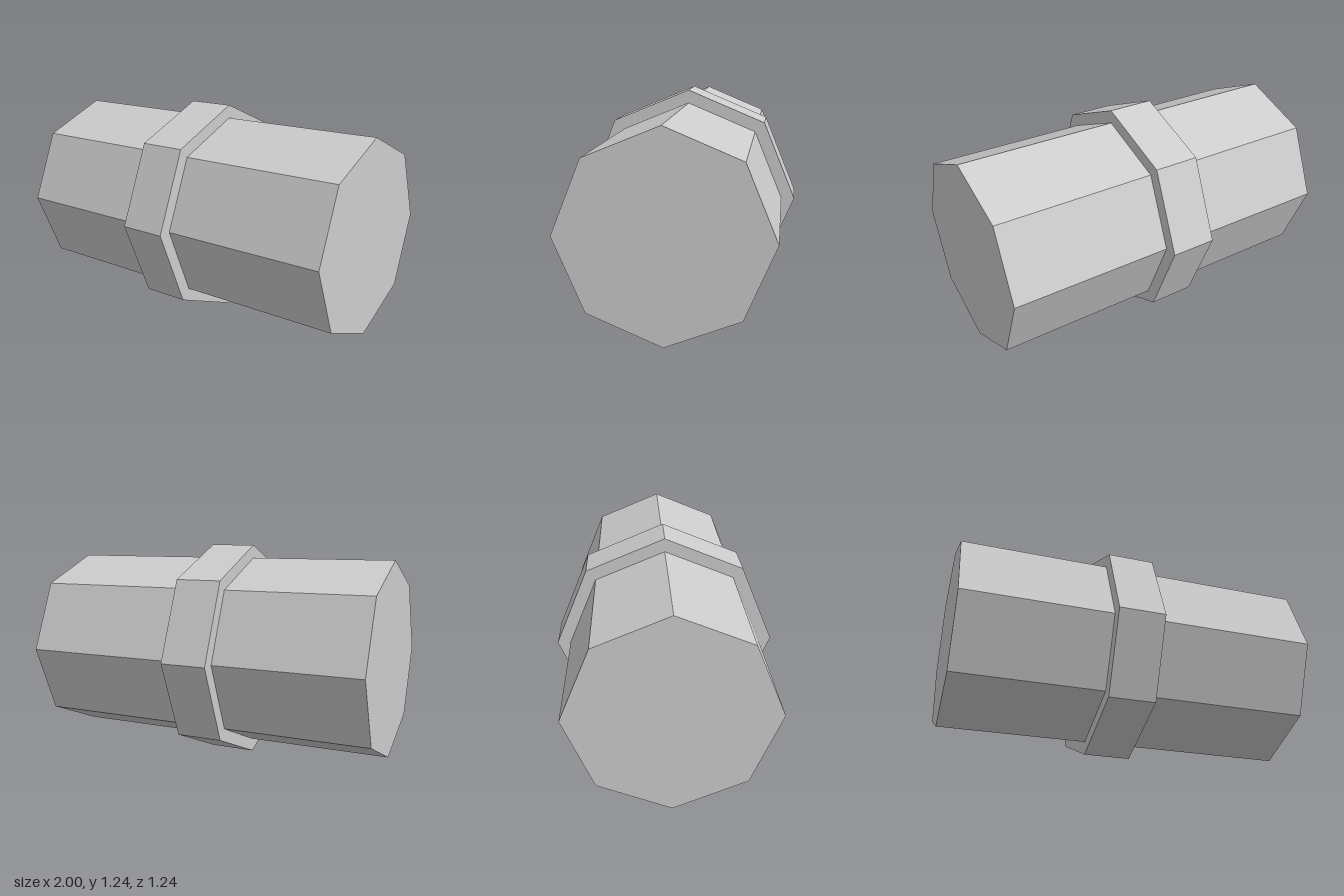
import * as THREE from 'three';

const AXIS_Y = 0.618;

// Octagonal prism lying along x, with a corner pointing straight up
function octagonPrism(name, radius, xMin, xMax, material) {
  const geometry = new THREE.CylinderGeometry(radius, radius, xMax - xMin, 8);
  geometry.rotateZ(Math.PI / 2);
  const mesh = new THREE.Mesh(geometry, material);
  mesh.name = name;
  mesh.position.set((xMin + xMax) / 2, AXIS_Y, 0);
  return mesh;
}

export function createModel() {
  const grey = new THREE.MeshStandardMaterial({ color: 0xcccccc, flatShading: true });
  grey.name = 'light grey';

  const group = new THREE.Group();
  group.name = 'collaredBar';
  // Long bar and the raised collar around it, slightly off centre
  group.add(octagonPrism('bar', 0.544, -1, 1, grey));
  group.add(octagonPrism('collar', 0.618, -0.176, 0.087, grey));
  return group;
}
